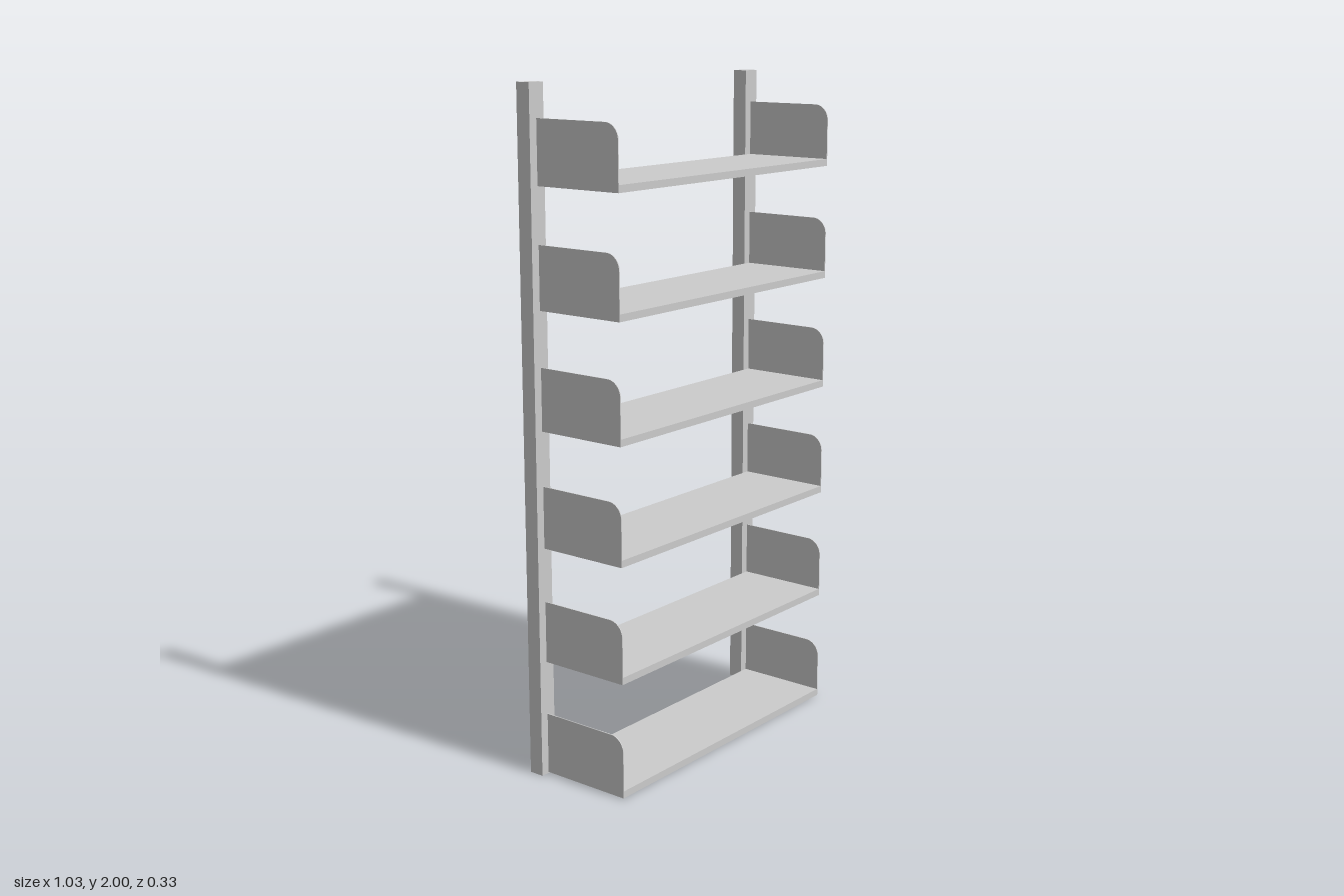
import * as THREE from 'three';

export function createModel() {
  const model = new THREE.Group();
  model.name = 'shelfUnit';
  const material = new THREE.MeshStandardMaterial({ color: 0xcccccc, flatShading: true });

  const add = (name, geometry, x, y, z, parent) => {
    const mesh = new THREE.Mesh(geometry, material);
    mesh.name = name;
    mesh.position.set(x, y, z);
    parent.add(mesh);
  };

  const back = -0.121, front = 0.167, halfWidth = 0.49;
  const panelHeight = 0.183, panelThickness = 0.003, radius = 0.045;
  const shelfThickness = 0.021, shelfStep = 0.3436, firstShelf = 0.003;

  // Upright posts behind the shelves
  const post = new THREE.BoxGeometry(0.056, 2, 0.046);
  for (const [side, s] of [['left', 1], ['right', -1]]) {
    add(side + 'Post', post, s * 0.489, 1, -0.144, model);
  }

  // Side panel outline, drawn as (z, y), with a rounded top front corner
  const outline = new THREE.Shape();
  outline.moveTo(back, 0);
  outline.lineTo(front, 0);
  outline.lineTo(front, panelHeight - radius);
  outline.absarc(front - radius, panelHeight - radius, radius, 0, Math.PI / 2, false);
  outline.lineTo(back, panelHeight);
  outline.closePath();
  const panel = new THREE.ExtrudeGeometry(outline, {
    depth: panelThickness, bevelEnabled: false, curveSegments: 10,
  });
  panel.rotateY(-Math.PI / 2); // shape x becomes z, extrusion runs toward -x

  const board = new THREE.BoxGeometry(2 * (halfWidth - panelThickness), shelfThickness, front - back);

  // Shelves, each a board between two thin side panels
  for (let i = 0; i < 6; i++) {
    const shelf = new THREE.Group();
    shelf.name = 'shelf' + (i + 1);
    shelf.position.y = firstShelf + i * shelfStep;
    add('board', board, 0, shelfThickness / 2, (front + back) / 2, shelf);
    add('leftPanel', panel, halfWidth, 0, 0, shelf);
    add('rightPanel', panel, -halfWidth + panelThickness, 0, 0, shelf);
    model.add(shelf);
  }

  return model;
}
